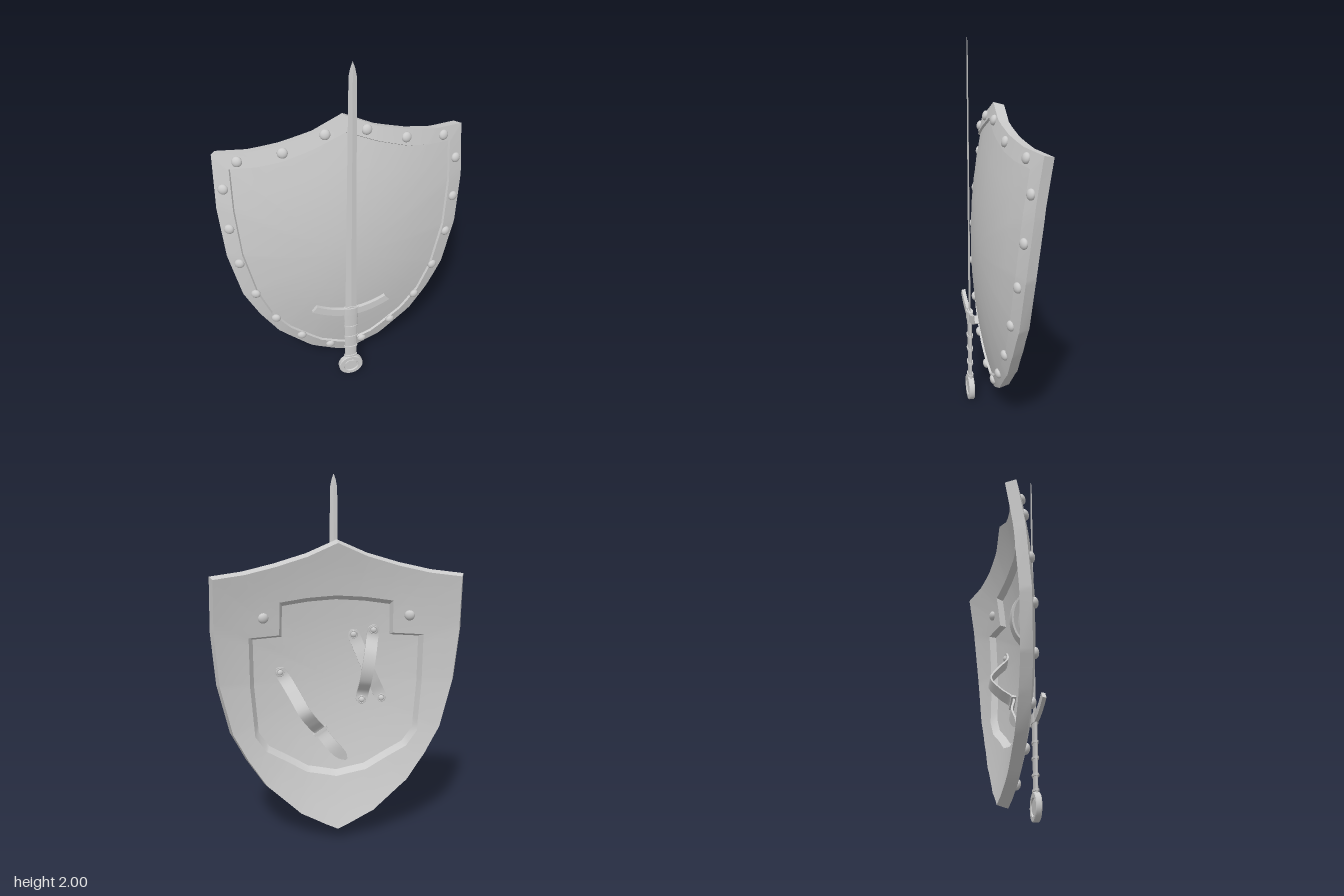
import * as THREE from 'three';
import { toCreasedNormals } from 'three/addons/utils/BufferGeometryUtils.js';

const V = (x, y, z = 0) => new THREE.Vector3(x, y, z);
const MID_Y = 0.9;
const SWORD_Z = 0.133;

// Curved shield face: point at (x, y) moved by d along the surface normal
const faceNormal = (x, y) => V(0.61 * x, 0.34 * (y - 0.87), 1).normalize();
const onFace = (x, y, d = 0) =>
  V(x, y, 0.108 - 0.17 * (y - 0.87) ** 2 - 0.305 * x * x).addScaledVector(faceNormal(x, y), d);

// Right halves of the outlines, from top to bottom
const OUTER = [[0, 1.67], [0.16, 1.6], [0.33, 1.55], [0.49, 1.515], [0.65, 1.498], [0.66, 1.21], [0.64, 0.92],
  [0.58, 0.65], [0.5, 0.49], [0.4, 0.335], [0.21, 0.16], [0.07, 0.09], [0, 0.06]];
const INNER = [[0, 1.587], [0.16, 1.52], [0.32, 1.465], [0.44, 1.44], [0.572, 1.425], [0.576, 1.2], [0.558, 0.93],
  [0.5, 0.66], [0.43, 0.49], [0.33, 0.36], [0.15, 0.21], [0, 0.145]];
const RECESS = [[0, 1.39], [0.16, 1.38], [0.31, 1.36], [0.315, 1.18], [0.48, 1.175], [0.48, 0.9], [0.46, 0.62],
  [0.4, 0.53], [0.17, 0.39], [0, 0.355]];

// Angle measured from straight up, growing towards +x
const angleOf = ([x, y]) => Math.atan2(x, y - MID_Y);

// All outlines are sampled on the same rays so that they can be lofted together
const halfAngles = [...new Set([...OUTER, ...INNER, ...RECESS].map((p) => +angleOf(p).toFixed(5)))]
  .sort((a, b) => a - b);
const ANGLES = [...halfAngles.slice(0, -1).map((a) => -a), ...halfAngles.slice(1).reverse()];

function sample(outline) {
  return ANGLES.map((signed) => {
    const a = Math.abs(signed);
    let i = 0;
    while (i < outline.length - 2 && angleOf(outline[i + 1]) < a) i++;
    const [x0, y0] = outline[i], [x1, y1] = outline[i + 1];
    const s = Math.sin(a), c = Math.cos(a);
    const f0 = x0 * c - (y0 - MID_Y) * s, f1 = x1 * c - (y1 - MID_Y) * s;
    const t = THREE.MathUtils.clamp(f0 / (f0 - f1), 0, 1);
    return [Math.sign(signed) * (x0 + (x1 - x0) * t), y0 + (y1 - y0) * t];
  });
}

// Skin over rings holding the same number of points
function loft(rings, crease = 0.5) {
  const n = rings[0].length, index = [];
  for (let i = 0; i < rings.length - 1; i++) {
    for (let j = 0; j < n; j++) {
      const k = (j + 1) % n;
      const a = i * n + j, b = i * n + k, c = b + n, d = a + n;
      index.push(a, d, c, a, c, b);
    }
  }
  const geo = new THREE.BufferGeometry().setFromPoints(rings.flat());
  geo.setIndex(index);
  return toCreasedNormals(geo, crease);
}

export function createModel() {
  const model = new THREE.Group();
  const material = new THREE.MeshStandardMaterial({ color: 0xcccccc });
  const thin = new THREE.MeshStandardMaterial({ color: 0xcccccc, side: THREE.DoubleSide });
  const add = (name, geo, parent = model, mat = material) => {
    const mesh = new THREE.Mesh(geo, mat);
    mesh.name = name;
    parent.add(mesh);
    return mesh;
  };
  const group = (name) => {
    const g = new THREE.Group();
    g.name = name;
    model.add(g);
    return g;
  };

  // Shield: sunken panel, raised rim and a back with a bevelled recess
  const shield = group('shield');
  const outer = sample(OUTER), inner = sample(INNER), recess = sample(RECESS);
  const ring = (loop, d, s = 1) => loop.map(([x, y]) => onFace(x * s, MID_Y + (y - MID_Y) * s, d));
  const steps = [0, 0.2, 0.4, 0.6, 0.8, 1];
  add('frontPanel', loft(steps.map((s) => ring(inner, -0.01, s))), shield);
  add('rim', loft([ring(inner, -0.01), ring(inner, 0.002, 1.006), ring(outer, 0), ring(outer, -0.058)]), shield);
  add('back', loft([
    ring(outer, -0.058),
    ...[0.33, 0.67, 1].map((t) => outer.map(([x, y], i) =>
      onFace(x + (recess[i][0] - x) * t, y + (recess[i][1] - y) * t, -0.058))),
    ...[...steps].reverse().map((s) => ring(recess, -0.03, s * 0.94)),
  ]), shield);

  // Domed rivets
  const rivets = group('rivets');
  const rivetGeo = new THREE.SphereGeometry(1, 16, 10);
  const rivet = (name, x, y, d, r) => {
    const m = add(name, rivetGeo, rivets);
    m.position.copy(onFace(x, y, d));
    m.scale.set(r, r, r * 0.65);
    m.quaternion.setFromUnitVectors(V(0, 0, 1), faceNormal(x, y));
  };
  const rimRivets = [[0.105, 1.59], [0.315, 1.513], [0.533, 1.47], [0.615, 1.322], [0.61, 1.095], [0.58, 0.875],
    [0.512, 0.657], [0.412, 0.455], [0.27, 0.282], [0.098, 0.155]];
  for (const side of [-1, 1]) {
    for (const [x, y] of rimRivets) rivet('rimRivet', side * x, y, 0.003, 0.027);
    rivet('backRivet', side * 0.4, 1.28, -0.06, 0.028);
  }

  // Leather straps: flat band swept along a curve, rounded at both ends
  const straps = group('straps');
  function strap(name, points, width, tip) {
    const curve = new THREE.CatmullRomCurve3(points);
    const N = 36, rings = [];
    const length = curve.getLength();
    for (let i = 0; i <= N; i++) {
      const u = i / N, p = curve.getPointAt(u), t = curve.getTangentAt(u);
      const s = t.clone().cross(V(0, 0, 1)).normalize();
      const n = t.clone().cross(s).multiplyScalar(0.005);
      const round = (dist, len) => Math.sqrt(Math.max(0.04, 1 - Math.max(0, 1 - dist / len) ** 2));
      s.multiplyScalar((width / 2) * round(u * length, width / 2) * round((1 - u) * length, tip));
      const corner = (a, b) => p.clone().addScaledVector(s, a).addScaledVector(n, b);
      const band = [corner(1, 1), corner(1, -1), corner(-1, -1), corner(-1, 1)];
      const cap = band.map(() => p.clone());
      if (i === 0) rings.push(cap);
      rings.push(band);
      if (i === N) rings.push(cap);
    }
    add(name, loft(rings, 0.7), straps, thin);
  }
  const stud = (x, y) => {
    rivet('strapRivet', x, y, -0.044, 0.016);
    const washer = add('strapWasher', new THREE.TorusGeometry(0.02, 0.004, 6, 20), straps);
    washer.position.copy(onFace(x, y, -0.042));
    washer.quaternion.setFromUnitVectors(V(0, 0, 1), faceNormal(x, y));
  };

  // Two crossed arm straps
  const crossed = [[[-0.1, 1.165], [-0.26, 0.8], 0.07], [[-0.21, 1.19], [-0.15, 0.79], 0.115]];
  for (const [a, b, lift] of crossed) {
    const at = (t, d) => onFace(a[0] + (b[0] - a[0]) * t, a[1] + (b[1] - a[1]) * t, d);
    strap('armStrap', [at(-0.07, -0.036), at(0.1, -0.04), at(0.3, -lift * 0.85), at(0.5, -lift),
      at(0.7, -lift * 0.85), at(0.9, -0.04), at(1.07, -0.036)], 0.065, 0.033);
    stud(...a);
    stud(...b);
  }

  // Hand strap with a buckle and a loose tail
  strap('handStrap', [onFace(0.325, 0.99, -0.036), onFace(0.285, 0.93, -0.042), onFace(0.245, 0.85, -0.11),
    onFace(0.2, 0.76, -0.165), onFace(0.14, 0.68, -0.12), onFace(0.09, 0.62, -0.06), onFace(0.02, 0.53, -0.075),
    onFace(-0.06, 0.45, -0.05)], 0.066, 0.09);
  stud(0.31, 0.965);
  const buckle = add('buckle', new THREE.BoxGeometry(0.085, 0.016, 0.026), straps);
  buckle.position.copy(onFace(0.09, 0.62, -0.06));
  buckle.rotation.z = -0.63;

  // Sword, hung point up in front of the shield
  const sword = group('sword');
  sword.position.z = SWORD_Z;
  const diamond = (y, w, t) => [V(w, y, 0), V(0, y, t), V(-w, y, 0), V(0, y, -t)];
  add('blade', loft([diamond(0.5, 0, 0), diamond(0.5, 0.033, 0.006), diamond(1.64, 0.022, 0.004),
    diamond(1.93, 0.019, 0.003), diamond(1.97, 0.011, 0.002), diamond(2, 0, 0)], 0.1), sword);

  // Upswept crossguard
  const guardShape = new THREE.Shape();
  guardShape.moveTo(-0.222, 0.555);
  guardShape.quadraticCurveTo(-0.13, 0.5, -0.04, 0.488);
  guardShape.lineTo(0.04, 0.488);
  guardShape.quadraticCurveTo(0.13, 0.5, 0.222, 0.555);
  guardShape.lineTo(0.195, 0.588);
  guardShape.quadraticCurveTo(0.12, 0.545, 0.04, 0.533);
  guardShape.lineTo(0, 0.548);
  guardShape.lineTo(-0.04, 0.533);
  guardShape.quadraticCurveTo(-0.12, 0.545, -0.195, 0.588);
  guardShape.closePath();
  const guardGeo = new THREE.ExtrudeGeometry(guardShape, { depth: 0.02, bevelEnabled: false, curveSegments: 8 });
  add('crossguard', toCreasedNormals(guardGeo.translate(0, 0, -0.01), 0.5), sword);
  const block = add('guardBlock', new THREE.CylinderGeometry(0.045, 0.045, 0.048, 16), sword);
  block.position.y = 0.512;
  block.scale.z = 0.4;

  // Flattened grip with raised bands
  const gripProfile = [[0, 0.13], [0.034, 0.13], [0.035, 0.225], [0.037, 0.31], [0.038, 0.39], [0.042, 0.49], [0, 0.49]];
  const grip = add('grip', new THREE.LatheGeometry(gripProfile.map(([r, y]) => new THREE.Vector2(r, y)), 20), sword);
  grip.geometry = toCreasedNormals(grip.geometry, 0.5);
  grip.scale.z = 0.3;
  for (const y of [0.15, 0.225, 0.31, 0.39]) {
    const band = add('gripBand', new THREE.CylinderGeometry(0.04, 0.04, 0.012, 20), sword);
    band.position.y = y;
    band.scale.z = 0.42;
  }

  // Round pommel with a ring groove on both faces
  const face = [[0, 0.012], [0.036, 0.012], [0.038, 0.008], [0.043, 0.008], [0.046, 0.016], [0.068, 0.016], [0.072, 0.012]];
  const profile = [...face.map(([r, z]) => [r, -z]), ...face.reverse()];
  const pommelGeo = new THREE.LatheGeometry(profile.map(([r, z]) => new THREE.Vector2(r, z)), 32);
  const pommel = add('pommel', toCreasedNormals(pommelGeo, 0.5), sword);
  pommel.rotation.x = Math.PI / 2;
  pommel.position.y = 0.072;

  return model;
}
